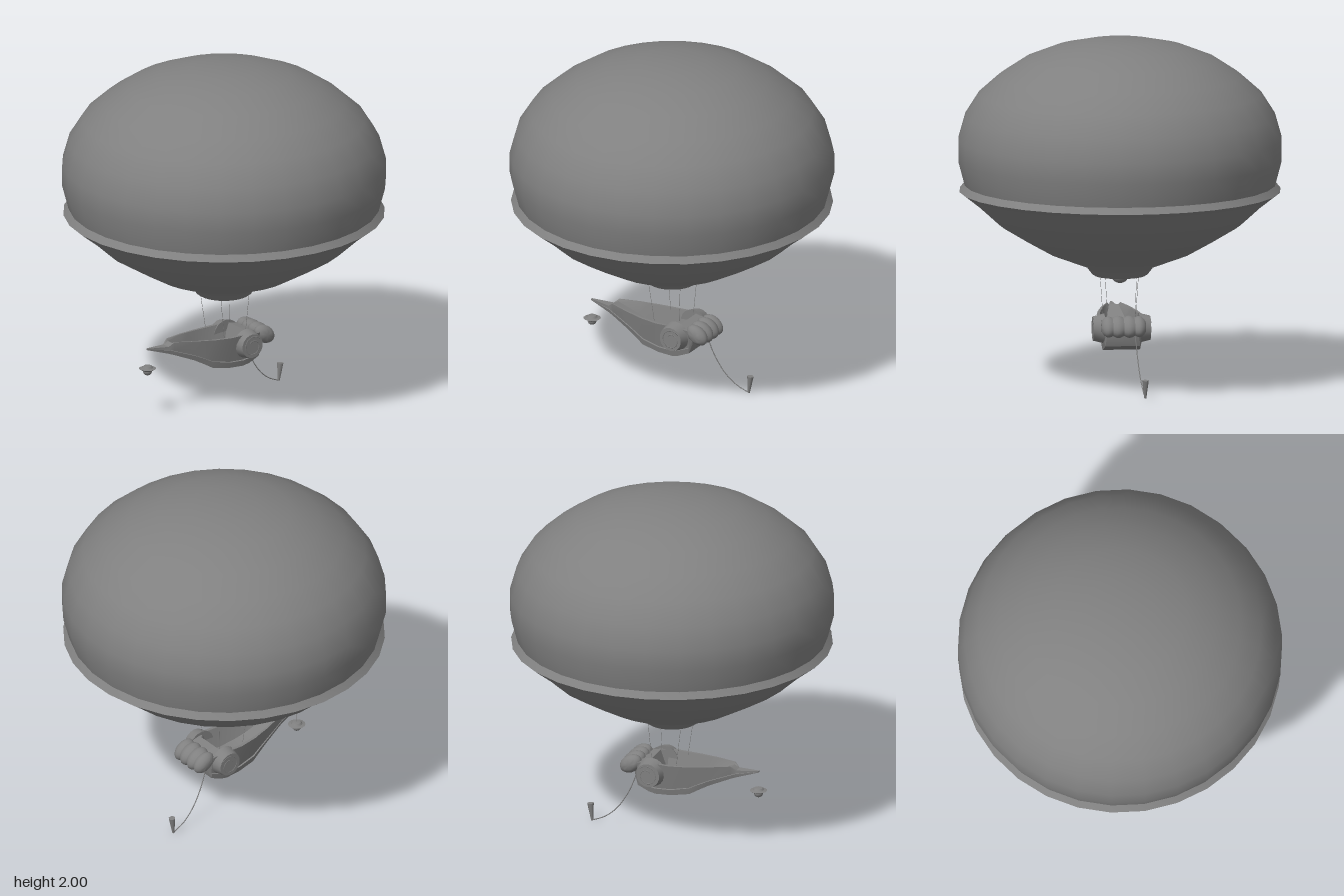
import * as THREE from 'three';
import { toCreasedNormals } from 'three/addons/utils/BufferGeometryUtils.js';

const grey = new THREE.MeshStandardMaterial({ color: 0x808080, side: THREE.DoubleSide });
const SIDES = 30;

function part(parent, name, geometry, x = 0, y = 0, z = 0) {
  const mesh = new THREE.Mesh(geometry, grey);
  mesh.name = name;
  mesh.position.set(x, y, z);
  parent.add(mesh);
  return mesh;
}

// Profiles run from bottom to top as [radius, y]
function lathe(profile, sides = SIDES, crease = 0.6) {
  const points = profile.map(([r, y]) => new THREE.Vector2(r, y));
  return toCreasedNormals(new THREE.LatheGeometry(points, sides), crease);
}

function line(points, radius, segments = 1) {
  const curve = new THREE.CatmullRomCurve3(points.map((p) => new THREE.Vector3(...p)));
  return new THREE.TubeGeometry(curve, segments, radius, 5);
}

// Open boat lofted along x from stations:
// [x, keel y, keel half width, strip y, strip half width, rim y, rim half width, floor y]
function hullGeometry() {
  const stations = [
    [-0.53, 0.403, 0.004, 0.406, 0.005, 0.412, 0.005, 0.412],
    [-0.40, 0.363, 0.025, 0.385, 0.031, 0.405, 0.028, 0.405],
    [-0.37, 0.353, 0.033, 0.376, 0.04, 0.43, 0.042, 0.42],
    [-0.25, 0.306, 0.065, 0.335, 0.075, 0.424, 0.085, 0.36],
    [-0.19, 0.275, 0.079, 0.309, 0.088, 0.421, 0.1, 0.335],
    [-0.14, 0.247, 0.09, 0.284, 0.098, 0.418, 0.114, 0.318],
    [-0.03, 0.228, 0.1, 0.262, 0.108, 0.415, 0.13, 0.30],
    [0.06, 0.226, 0.105, 0.26, 0.112, 0.418, 0.13, 0.31],
    [0.10, 0.234, 0.105, 0.268, 0.112, 0.42, 0.13, 0.42],
    [0.17, 0.263, 0.1, 0.295, 0.106, 0.405, 0.115, 0.405],
    [0.19, 0.325, 0.09, 0.34, 0.095, 0.37, 0.092, 0.37],
  ];
  const pos = [];
  const index = [];
  for (const [x, yk, wk, ys, ws, yr, wr, yf] of stations) {
    const half = [[wk, yk], [ws, ys], [ws * 0.92, ys + 0.002], [wr, yr], [wr * 0.86, yr], [wr * 0.62, yf]];
    for (const [w, y] of half) pos.push(x, y, w);
    for (const [w, y] of half.reverse()) pos.push(x, y, -w);
  }
  const n = 12;
  const last = (stations.length - 1) * n;
  for (let i = 0; i < last; i += n) {
    for (let j = 0; j < n; j++) {
      const k = (j + 1) % n;
      const [a, b, c, d] = [i + j, i + k, i + n + k, i + n + j];
      index.push(a, d, c, a, c, b);
    }
  }
  for (let k = 1; k < n - 1; k++) {
    index.push(0, k, k + 1, last, last + k + 1, last + k);
  }
  const geometry = new THREE.BufferGeometry();
  geometry.setAttribute('position', new THREE.Float32BufferAttribute(pos, 3));
  geometry.setIndex(index);
  return toCreasedNormals(geometry, 0.5);
}

export function createModel() {
  const model = new THREE.Group();
  model.name = 'balloonShip';

  // Balloon: domed envelope, sloping rim, funnel underside
  const balloon = new THREE.Group();
  balloon.name = 'balloon';
  model.add(balloon);
  part(balloon, 'envelope', lathe([
    [0.885, 1.17], [0.922, 1.31], [0.922, 1.43], [0.884, 1.565], [0.805, 1.69], [0.69, 1.792],
    [0.545, 1.887], [0.38, 1.952], [0.2, 1.991], [0, 2],
  ]));
  part(balloon, 'rim', lathe([[0.915, 1.135], [0.885, 1.172], [0.87, 1.172]]));
  part(balloon, 'underside', lathe([
    [0, 0.685], [0.095, 0.68], [0.11, 0.648], [0.145, 0.645], [0.16, 0.655], [0.19, 0.695],
    [0.4, 0.775], [0.55, 0.86], [0.69, 0.945], [0.8, 1.045], [0.915, 1.135],
  ]));
  part(balloon, 'burnerBulb', new THREE.SphereGeometry(0.052, 16, 12), 0, 0.652, 0);

  // Boat
  const boat = new THREE.Group();
  boat.name = 'boat';
  model.add(boat);
  part(boat, 'hull', hullGeometry());

  for (const s of [1, -1]) {
    // Scroll on each side of the bow
    const scroll = new THREE.Group();
    scroll.name = s > 0 ? 'leftScroll' : 'rightScroll';
    boat.add(scroll);
    const disc = toCreasedNormals(new THREE.CylinderGeometry(0.07, 0.086, 0.065, 18), 0.5);
    part(scroll, 'scrollDisc', disc, 0.085, 0.354, s * 0.131).rotation.x = s * Math.PI / 2;
    const spiral = [];
    for (let i = 0; i <= 16; i++) {
      const a = 2.4 - i * 0.5;
      const r = 0.03 + i * 0.002;
      spiral.push([0.09 + r * Math.cos(a), 0.35 + r * Math.sin(a), s * 0.163]);
    }
    part(scroll, 'scrollSpiral', line(spiral, 0.003, 50));

    // Suspension ropes
    part(model, 'rearRope', line([[-0.095, 0.66, s * 0.106], [-0.062, 0.41, s * 0.092]], 0.0012));
    part(model, 'frontRope', line([[0.11, 0.66, s * 0.095], [0.093, 0.42, s * 0.08]], 0.0012));
  }

  // Bolster with shallow lobes across the bow
  const LOBES = 4;
  const profile = [[0, -0.125]];
  for (let i = 0; i <= LOBES * 6; i++) {
    const t = i / (LOBES * 6);
    const ends = Math.pow(Math.abs(2 * t - 1), 6);
    const bulge = Math.abs(Math.sin(Math.PI * LOBES * t));
    profile.push([0.05 - 0.02 * ends + 0.012 * bulge, -0.125 + 0.25 * t]);
  }
  profile.push([0, 0.125]);
  const bolster = part(boat, 'bowBolster', lathe(profile, 20, 0.8), 0.217, 0.382, 0);
  bolster.rotation.set(Math.PI / 2, -0.6, 0);
  bolster.scale.set(1.2, 1, 0.84);

  // Tail lantern
  const lantern = new THREE.Group();
  lantern.name = 'tailLantern';
  model.add(lantern);
  part(lantern, 'lanternCord', line([[-0.527, 0.41, 0], [-0.527, 0.3, 0]], 0.0012));
  part(lantern, 'lanternShade', lathe([
    [0, 0.278], [0.028, 0.28], [0.05, 0.293], [0.032, 0.297], [0.024, 0.308], [0, 0.312],
  ], 14), -0.527, 0, 0);
  part(lantern, 'lanternBulb', new THREE.SphereGeometry(0.027, 14, 10), -0.527, 0.279, 0);

  // Trailing line with a tapered weight
  part(model, 'trailingLine', line([
    [0.185, 0.325, -0.07], [0.235, 0.2, -0.078], [0.3, 0.1, -0.087], [0.37, 0.04, -0.095], [0.447, 0.007, -0.1],
  ], 0.003, 20));
  const weight = part(model, 'lineWeight', toCreasedNormals(new THREE.CylinderGeometry(0.019, 0.006, 0.104, 10), 0.7), 0.452, 0.058, -0.101);
  weight.rotation.z = -0.1;

  return model;
}
